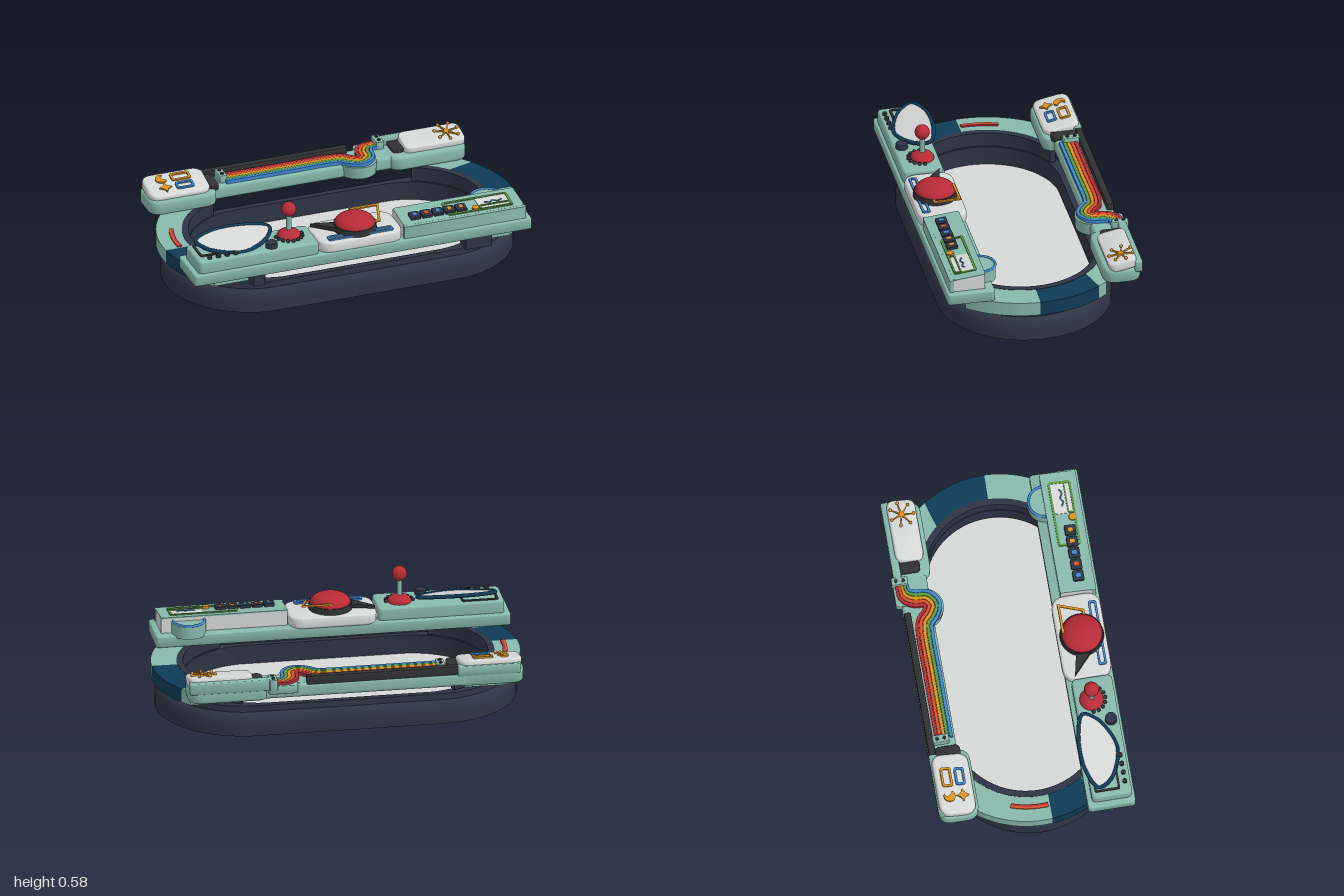
import * as THREE from 'three';
import { toCreasedNormals } from 'three/addons/utils/BufferGeometryUtils.js';

const paint = (name, color) => Object.assign(new THREE.MeshStandardMaterial({ color, side: THREE.DoubleSide }), { name });
const M = {
  mint: paint('mint', 0x88b9ad), navy: paint('navy', 0x0f3a56), slate: paint('slate', 0x2d3445),
  black: paint('charcoal', 0x303133), white: paint('light grey', 0xd6d9d8), red: paint('red', 0xb82b37),
  vermilion: paint('vermilion', 0xd9532a), amber: paint('amber', 0xdd931f), green: paint('green', 0x5a9a42),
  blue: paint('blue', 0x3f88d2),
};

function add(parent, name, geo, mat, x = 0, y = 0, z = 0) {
  const m = new THREE.Mesh(geo, mat);
  m.name = name;
  m.position.set(x, y, z);
  parent.add(m);
  return m;
}
function panel(parent, name, x, y, z, tilt) {
  const g = new THREE.Group();
  g.name = name;
  g.position.set(x, y, z);
  g.rotation.x = tilt;
  parent.add(g);
  return g;
}
// Rounded rectangle centred on the origin
function roundRect(w, d, r, Type = THREE.Shape) {
  const s = new Type(), a = w / 2, b = d / 2;
  s.moveTo(-a + r, -b);
  s.lineTo(a - r, -b); s.quadraticCurveTo(a, -b, a, -b + r);
  s.lineTo(a, b - r); s.quadraticCurveTo(a, b, a - r, b);
  s.lineTo(-a + r, b); s.quadraticCurveTo(-a, b, -a, b - r);
  s.lineTo(-a, -b + r); s.quadraticCurveTo(-a, -b, -a + r, -b);
  return s;
}
// Extrudes a plan (x, z) shape upwards from y = 0 to y = h
function plate(shape, h, bevel = 0) {
  const g = new THREE.ExtrudeGeometry(shape, {
    depth: h - 2 * bevel, bevelEnabled: bevel > 0, bevelThickness: bevel, bevelSize: bevel,
    bevelOffset: -bevel, bevelSegments: 4, curveSegments: 12,
  });
  g.rotateX(Math.PI / 2).translate(0, h - bevel, 0);
  return toCreasedNormals(g, 0.6);
}
function slab(parent, name, mat, x0, x1, z0, z1, y0, y1, r, bevel = 0) {
  return add(parent, name, plate(roundRect(x1 - x0, z1 - z0, r), y1 - y0, bevel), mat, (x0 + x1) / 2, y0, (z0 + z1) / 2);
}
function frame(parent, name, mat, x, z, w, d, t = 0.012) {
  const s = roundRect(w, d, 0.014);
  s.holes.push(roundRect(w - 2 * t, d - 2 * t, 0.008, THREE.Path));
  return add(parent, name, plate(s, 0.009), mat, x, 0, z);
}
function star(points, outer, inner) {
  return new THREE.Shape(Array.from({ length: points * 2 }, (_, i) => {
    const a = (i * Math.PI) / points, r = i % 2 ? inner : outer;
    return new THREE.Vector2(Math.sin(a) * r, Math.cos(a) * r);
  }));
}
const v2 = (p) => new THREE.Vector2(...p);

// Lathe pulled apart along x into a pill outline
function pill(profile) {
  const g = new THREE.LatheGeometry(profile.map(v2), 72), p = g.attributes.position;
  for (let i = 0; i < p.count; i++) {
    const x = p.getX(i), r = Math.hypot(x, p.getZ(i));
    if (Math.abs(x) > 1e-4) p.setX(i, x + Math.sign(x) * (r > 0.42 ? 0.505 : 0.42));
  }
  return toCreasedNormals(g, 0.6);
}
// Ring sector; a0 and a1 are [outer, inner] end angles
function sector(r0, r1, a0, a1) {
  const s = new THREE.Shape();
  s.absarc(0, 0, r1, a0[0], a1[0], false);
  s.absarc(0, 0, r0, a1[1], a0[1], true);
  return s;
}

function buildBase(root) {
  add(root, 'baseTray', pill([[0, 0], [0.475, 0], [0.475, 0.075], [0.468, 0.1], [0.455, 0.117], [0.44, 0.126],
    [0.437, 0.16], [0.403, 0.16], [0.403, 0.05], [0, 0.05]]), M.slate, 0, 0, 0.04);
  add(root, 'trayFloor', pill([[0.4, 0.055], [0, 0.055]]), M.white, 0, 0, 0.04);

  // Curved side arms with dark lining and a navy section
  for (const side of [1, -1]) {
    const arm = panel(root, side > 0 ? 'leftArm' : 'rightArm', side * 0.42, 0.165, 0.04, 0);
    const put = (name, r0, r1, a0, a1, mat, h, y = 0) => {
      const g = sector(r0, r1, a0, a1);
      if (side < 0) {
        const pts = g.getPoints(24).map((p) => new THREE.Vector2(-p.x, p.y)).reverse();
        add(arm, name, plate(new THREE.Shape(pts), h), mat, 0, y);
      } else add(arm, name, plate(g, h), mat, 0, y);
    };
    const n0 = side > 0 ? [-0.61, -0.72] : [0.086, 0.11], n1 = side > 0 ? [0.02, 0.02] : [0.46, 0.58];
    put('armRear', 0.44, 0.58, [-0.72, -1.05], n0, M.mint, 0.078);
    put('armInset', 0.44, 0.58, n0, n1, M.navy, 0.078);
    put('armFront', 0.44, 0.58, n1, [0.74, 1.08], M.mint, 0.078);
    put('armLining', 0.405, 0.44, [-1.2, -1.2], [1.2, 1.2], M.slate, 0.08);
    if (side < 0) {
      put('armStripeRed', 0.485, 0.497, [-0.33, -0.33], [0.08, 0.08], M.red, 0.008, 0.078);
      put('armStripeOrange', 0.497, 0.51, [-0.33, -0.33], [0.08, 0.08], M.vermilion, 0.008, 0.078);
    }
  }
  slab(root, 'rightMount', M.slate, -0.65, -0.58, 0.42, 0.5, 0.16, 0.25, 0.005);
  slab(root, 'leftMount', M.slate, 0.57, 0.72, 0.42, 0.5, 0.16, 0.25, 0.005);
}

function buildFrontConsole(root) {
  const con = panel(root, 'frontConsole', 0, 0, 0, 0);
  slab(con, 'consoleSlab', M.mint, -1, 0.935, 0.285, 0.545, 0.243, 0.308, 0.02, 0.008);
  slab(con, 'rightDeck', M.mint, -0.97, -0.28, 0.31, 0.53, 0.3, 0.378, 0.03, 0.012);
  slab(con, 'centerPod', M.white, -0.275, 0.205, 0.275, 0.54, 0.3, 0.365, 0.08, 0.015);

  // Visor dish with a tilted rim
  const visor = panel(con, 'visor', 0, 0.405, 0.39, 0.26);
  const outline = new THREE.CatmullRomCurve3([[-0.925, -0.04], [-0.81, -0.098], [-0.61, -0.098], [-0.5, -0.055],
    [-0.53, 0.015], [-0.61, 0.075], [-0.7, 0.105], [-0.81, 0.08], [-0.89, 0.03]].map(([x, z]) => new THREE.Vector3(x, 0, z)), true);
  add(visor, 'visorRim', new THREE.TubeGeometry(outline, 72, 0.011, 8, true), M.navy);
  add(visor, 'visorGlass', plate(new THREE.Shape(outline.getPoints(60).map((p) => new THREE.Vector2(p.x, p.z))), 0.008), M.white, 0, -0.004);
  frame(con, 'visorPlate', M.black, -0.84, 0.4, 0.2, 0.14).position.y = 0.376;
  for (let i = 0; i < 4; i++) add(con, 'deckButton', new THREE.CylinderGeometry(0.013, 0.013, 0.02, 16), M.black, -0.9 + i * 0.05, 0.382, 0.5);
  add(con, 'deckKnob', new THREE.CylinderGeometry(0.032, 0.034, 0.035, 24), M.slate, -0.54, 0.388, 0.485);

  // Joystick
  const joy = panel(con, 'joystick', -0.41, 0, 0.4, 0);
  const collar = add(joy, 'stickCollar', new THREE.SphereGeometry(0.065, 24, 12, 0, Math.PI * 2, 0, Math.PI / 2), M.red, 0, 0.38, 0);
  collar.scale.y = 0.6;
  add(joy, 'stickShaft', new THREE.CylinderGeometry(0.014, 0.014, 0.13, 16), M.mint, 0, 0.455, 0);
  add(joy, 'stickBall', new THREE.SphereGeometry(0.041, 24, 16), M.red, 0, 0.54, 0);
  for (let i = 0; i < 9; i++) {
    const a = (i / 8) * Math.PI;
    add(joy, 'collarBead', new THREE.SphereGeometry(0.011, 10, 8), M.black, Math.cos(a) * 0.073, 0.383, Math.sin(a) * 0.075);
  }

  // Big dome button, pointer and frames
  const dome = add(con, 'domeButton', new THREE.SphereGeometry(0.11, 36, 12, 0, Math.PI * 2, 0, Math.PI / 2), M.red, -0.035, 0.395, 0.41);
  dome.scale.y = 0.5;
  add(con, 'domeCollar', new THREE.CylinderGeometry(0.115, 0.12, 0.035, 36), M.black, -0.035, 0.38, 0.41);
  add(con, 'pointer', plate(new THREE.Shape([[-0.265, 0.335], [-0.1, 0.37], [-0.11, 0.47], [-0.16, 0.43]].map(v2)), 0.02), M.black, 0, 0.372, 0);
  const podTop = panel(con, 'podFrames', 0, 0.367, 0.41, 0);
  frame(podTop, 'blueFrame', M.blue, -0.035, 0.085, 0.37, 0.045);
  const kite = new THREE.Shape([[-0.03, -0.11], [0.14, -0.11], [0.1, 0.035], [0.04, 0.035]].map(v2));
  kite.holes.push(new THREE.Path([[-0.01, -0.097], [0.123, -0.097], [0.09, 0.022], [0.045, 0.022]].map(v2)));
  const amber = add(podTop, 'amberFrame', plate(kite, 0.009), M.amber, 0, 0.03);
  amber.rotation.x = 0.2;

  // Display block with a sloping top
  const wedge = new THREE.BoxGeometry(0.69, 0.09, 0.175), p = wedge.attributes.position;
  for (let i = 0; i < p.count; i++) if (p.getY(i) > 0 && p.getZ(i) > 0) p.setY(i, 0.026);
  wedge.computeVertexNormals();
  add(con, 'displayBlock', wedge, M.white, 0.555, 0.348, 0.4225);
  slab(con, 'displayFascia', M.mint, 0.205, 0.905, 0.505, 0.53, 0.3, 0.378, 0.01);
  const disp = panel(con, 'display', 0, 0.385, 0.42, 0.107);
  slab(disp, 'displayLid', M.mint, 0.21, 0.9, -0.088, 0.09, -0.004, 0.003, 0.015);
  slab(disp, 'screenPlate', M.white, 0.66, 0.84, -0.04, 0.07, 0.003, 0.006, 0.01);
  frame(disp, 'greenFrame', M.green, 0.66, 0.01, 0.37, 0.125);
  frame(disp, 'screenFrame', M.green, 0.75, 0.05, 0.18, 0.04, 0.008).position.y = 0.003;
  const wave = new THREE.CatmullRomCurve3([0, 1, 2, 3, 4].map((i) => new THREE.Vector3(0.7 + i * 0.025, 0.008, i % 2 ? 0.015 : 0.003)));
  add(disp, 'screenWave', new THREE.TubeGeometry(wave, 24, 0.004, 6), M.blue);
  [M.blue, M.vermilion, M.blue, M.amber, M.amber].forEach((mat, i) => {
    const x = 0.295 + i * 0.066;
    slab(disp, 'key', M.slate, x - 0.029, x + 0.029, -0.005, 0.055, 0, 0.018, 0.008);
    slab(disp, 'keyMark', mat, x - 0.011, x + 0.011, 0.012, 0.038, 0.018, 0.021, 0.006);
  });
  add(disp, 'displayDial', new THREE.CylinderGeometry(0.02, 0.02, 0.016, 20), M.amber, 0.635, 0.008, 0.05);

  // Half-round pod behind the display block
  add(con, 'roundPod', new THREE.CylinderGeometry(0.095, 0.095, 0.075, 36), M.mint, 0.75, 0.335, 0.342);
  const arc = add(con, 'podArc', new THREE.TorusGeometry(0.085, 0.007, 8, 32, Math.PI), M.blue, 0.75, 0.374, 0.335);
  arc.rotation.x = -Math.PI / 2;
}

function buildBackConsole(root) {
  const con = panel(root, 'backConsole', 0, 0, 0, 0);
  slab(con, 'rightPodBase', M.mint, -0.94, -0.55, -0.515, -0.295, 0.24, 0.325, 0.07, 0.02);
  slab(con, 'crossBar', M.mint, -0.7, 0.7, -0.515, -0.355, 0.242, 0.322, 0.03, 0.02);
  slab(con, 'leftPodBase', M.mint, 0.45, 0.89, -0.53, -0.325, 0.24, 0.325, 0.07, 0.02);
  slab(con, 'leftPodBack', M.mint, 0.45, 0.89, -0.535, -0.49, 0.3, 0.365, 0.015, 0.008);
  slab(con, 'rightPodBack', M.mint, -0.92, -0.57, -0.517, -0.47, 0.3, 0.36, 0.02, 0.008);
  add(con, 'loopBase', new THREE.CylinderGeometry(0.105, 0.1, 0.07, 36), M.mint, 0.28, 0.287, -0.395);
  slab(con, 'loopBack', M.mint, 0.3, 0.46, -0.545, -0.46, 0.28, 0.328, 0.02, 0.005);
  slab(con, 'darkRail', M.black, -0.58, 0.25, -0.512, -0.475, 0.3, 0.36, 0.01, 0.004);
  for (const [x, z] of [[-0.565, -0.41], [0.515, -0.45]]) slab(con, 'podGasket', M.black, x - 0.035, x + 0.035, z - 0.07, z + 0.07, 0.31, 0.345, 0.03, 0.005);

  // Five-colour ribbon following one path with a loop
  const path = new THREE.CatmullRomCurve3([[-0.48, -0.415], [-0.1, -0.415], [0.13, -0.415], [0.19, -0.405], [0.23, -0.37],
    [0.28, -0.348], [0.325, -0.38], [0.332, -0.44], [0.36, -0.485], [0.42, -0.497]].map(([x, z]) => new THREE.Vector3(x, 0, z)), false, 'centripetal');
  const N = 90;
  const rail = (o) => Array.from({ length: N + 1 }, (_, i) => {
    const q = path.getPointAt(i / N), t = path.getTangentAt(i / N), k = o * (1 - 0.25 * THREE.MathUtils.smoothstep(q.x, 0.33, 0.4));
    return new THREE.Vector2(q.x - t.z * k, q.z + t.x * k);
  });
  [M.red, M.vermilion, M.amber, M.green, M.blue].forEach((mat, i) => {
    const a = -0.05 + i * 0.02;
    add(con, 'ribbonStripe', plate(new THREE.Shape([...rail(a), ...rail(a + 0.018).reverse()]), 0.02), mat, 0, 0.321 + i * 0.0004, 0);
  });
  for (const [x, z] of [[-0.49, -0.435], [0.435, -0.505]]) {
    slab(con, 'ribbonClip', M.mint, x - 0.022, x + 0.022, z - 0.045, z + 0.045, 0.3, 0.365, 0.01, 0.004);
    for (const s of [-1, 1]) add(con, 'clipScrew', new THREE.CylinderGeometry(0.01, 0.01, 0.01, 12), M.black, x, 0.366, z + s * 0.02);
  }

  // Tilted white caps with emblems
  const capR = panel(con, 'rightCap', -0.76, 0.368, -0.405, 0.2);
  slab(capR, 'capShell', M.white, -0.17, 0.175, -0.1, 0.1, -0.055, 0, 0.06, 0.015);
  frame(capR, 'amberFrame', M.amber, 0.04, -0.04, 0.11, 0.06);
  frame(capR, 'blueFrame', M.blue, 0.04, 0.034, 0.1, 0.055);
  const moon = new THREE.Shape();
  moon.absarc(0, 0, 0.032, 0.6, 5.2, false);
  moon.quadraticCurveTo(-0.022, -0.012, 0.0264, 0.018);
  add(capR, 'moon', plate(moon, 0.009), M.amber, -0.07, 0, -0.04);
  add(capR, 'star', plate(star(4, 0.036, 0.018), 0.009), M.amber, -0.07, 0, 0.035);

  const capL = panel(con, 'leftCap', 0.715, 0.372, -0.425, 0.2);
  slab(capL, 'capShell', M.white, -0.175, 0.175, -0.078, 0.078, -0.055, 0, 0.045, 0.012);
  add(capL, 'burst', plate(star(7, 0.07, 0.012), 0.009), M.amber, 0.088, 0, -0.008);
  for (let i = 0; i < 7; i++) {
    const a = (i * Math.PI * 2) / 7;
    add(capL, 'burstBead', new THREE.SphereGeometry(0.009, 10, 8), M.amber, 0.088 + Math.sin(a) * 0.066, 0.007, -0.008 + Math.cos(a) * 0.066);
  }
}

export function createModel() {
  const root = new THREE.Group();
  root.name = 'controlConsole';
  buildBase(root);
  buildFrontConsole(root);
  buildBackConsole(root);
  return root;
}
